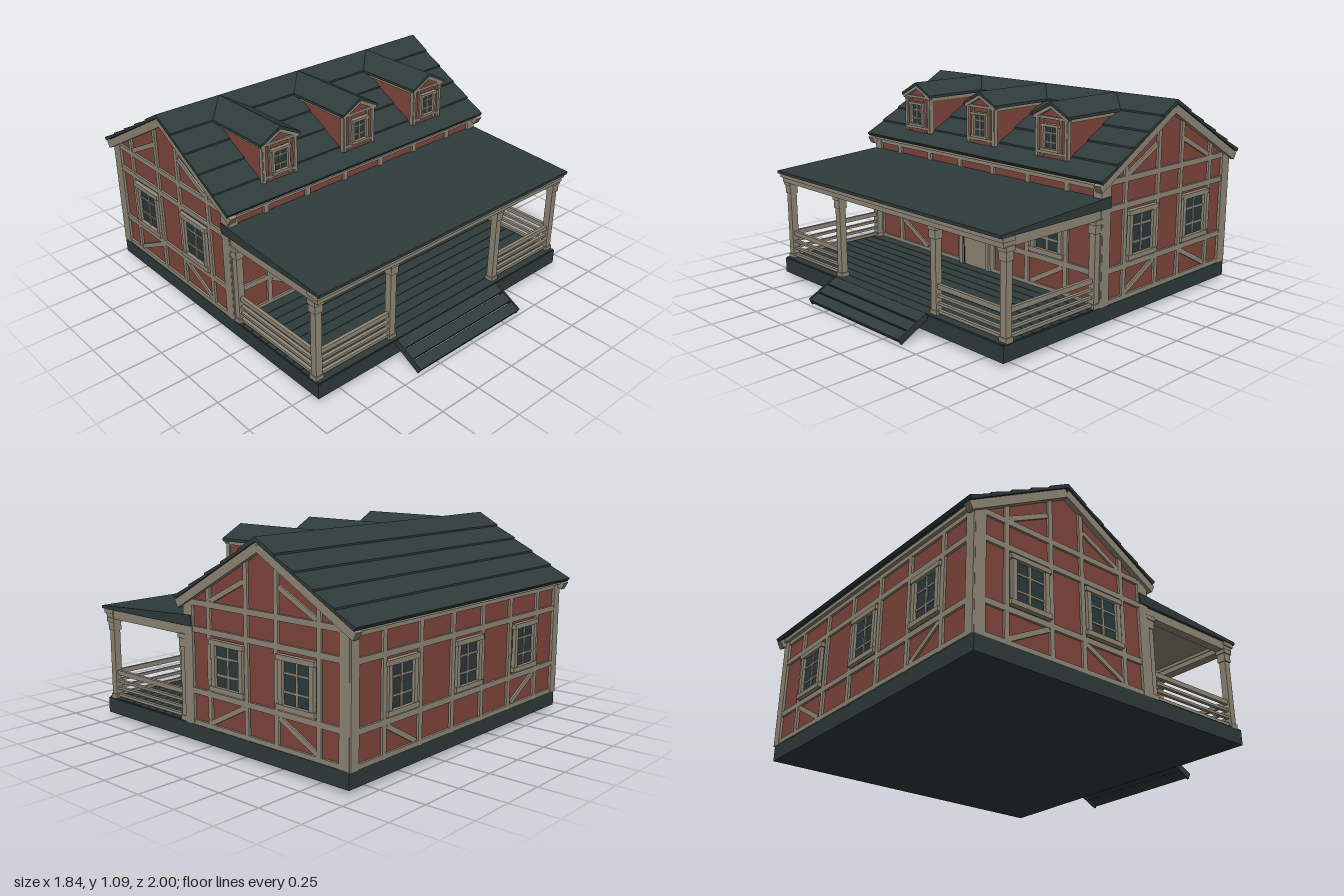
import * as THREE from 'three';

const mat = (name, color) => {
  const m = new THREE.MeshStandardMaterial({ color });
  m.name = name;
  return m;
};

export function createModel() {
  const slate = mat('dark slate', 0x2f3b3b);
  const red = mat('red plaster', 0x81463e);
  const cream = mat('cream timber', 0x918978);
  const glass = mat('window glass', 0x2c3a3e);
  const dark = mat('dark metal', 0x1b1613);

  const model = new THREE.Group();
  model.name = 'house';

  const group = (parent, name, x = 0, y = 0, z = 0, ry = 0) => {
    const g = new THREE.Group();
    g.name = name;
    g.position.set(x, y, z);
    g.rotation.y = ry;
    parent.add(g);
    return g;
  };
  const add = (parent, name, geo, m) => {
    const mesh = new THREE.Mesh(geo, m);
    mesh.name = name;
    parent.add(mesh);
    return mesh;
  };
  // box given by its extents on each axis
  const box = (parent, name, m, x0, x1, y0, y1, z0, z1) => {
    const mesh = add(parent, name, new THREE.BoxGeometry(x1 - x0, y1 - y0, z1 - z0), m);
    mesh.position.set((x0 + x1) / 2, (y0 + y1) / 2, (z0 + z1) / 2);
    return mesh;
  };
  // timber lying on a wall plane between two points
  const beam = (parent, name, u0, y0, u1, y1, width = 0.03, depth = 0.012, m = cream) => {
    const len = Math.hypot(u1 - u0, y1 - y0);
    const mesh = add(parent, name, new THREE.BoxGeometry(len, width, depth + 0.01), m);
    mesh.position.set((u0 + u1) / 2, (y0 + y1) / 2, depth / 2 - 0.005);
    mesh.rotation.z = Math.atan2(y1 - y0, u1 - u0);
    return mesh;
  };
  const outline = (points) => new THREE.Shape(points.map((p) => new THREE.Vector2(...p)));
  // (z, y) profile swept across x from -w to w
  const sweepX = (points, w) => new THREE.ExtrudeGeometry(outline(points), { depth: 2 * w, bevelEnabled: false })
    .rotateY(-Math.PI / 2).translate(w, 0, 0);

  // framed window with glazing bars, lying on a wall plane
  const windowUnit = (parent, u, y, w, h, f, bar) => {
    const g = group(parent, 'window', u, y);
    box(g, 'windowGlass', glass, -w / 2, w / 2, -h / 2, h / 2, 0, 0.006);
    for (const s of [-1, 1]) {
      beam(g, 'windowJamb', s * (w - f) / 2, -h / 2, s * (w - f) / 2, h / 2, f, 0.022);
      beam(g, 'windowRail', -w / 2 - f * 0.4, s * (h - f) / 2, w / 2 + f * 0.4, s * (h - f) / 2, f, 0.026);
    }
    beam(g, 'glazingBar', 0, -h / 2, 0, h / 2, bar, 0.011);
    for (const k of [-0.17, 0.17]) beam(g, 'glazingBar', -w / 2, k * h, w / 2, k * h, bar * 0.8, 0.01);
  };

  // foundation and porch deck
  box(model, 'foundation', slate, -0.895, 0.895, 0.03, 0.113, -0.945, 0.82);
  for (let i = 0; i < 10; i++) {
    const z = 0.15 + i * 0.067;
    box(model, 'deckPlank', slate, -0.89, 0.89, 0.11, 0.119, z, z + 0.063);
  }

  // house body
  add(model, 'walls', sweepX([[-0.94, 0.11], [0.14, 0.11], [0.14, 0.745], [-0.4, 1.06], [-0.94, 0.745]], 0.88), red);

  // main roof with five stepped courses on each slope
  const n = 5, run = 0.6, drop = 0.335, step = 0.009;
  const slope = [];
  for (let i = 0; i < n; i++) {
    const a = i / n, b = (i + 1) / n;
    slope.push([a * run, 1.1 - a * drop - (i ? step : 0)], [b * run, 1.1 - b * drop]);
  }
  const front = slope.map(([d, y]) => [-0.4 + d * 0.985, y]);
  const back = slope.slice(1).reverse().map(([d, y]) => [-0.4 - d, y]);
  add(model, 'mainRoof', sweepX([...front, [0.18, 0.748], [-0.4, 1.078], [-0.988, 0.748], ...back], 0.92), slate);

  // long walls, front and back
  const longWall = (name, z, ry) => {
    const g = group(model, name, 0, 0, z, ry);
    for (const [y, w] of [[0.125, 0.025], [0.285, 0.03], [0.6, 0.03], [0.725, 0.03]])
      beam(g, 'wallRail', -0.89, y, 0.89, y, w);
    beam(g, 'eaveBoard', -0.9, 0.745, 0.9, 0.745, 0.022, 0.03);
    for (const s of [-1, 1]) {
      beam(g, 'cornerPost', s * 0.865, 0.11, s * 0.865, 0.74, 0.055, 0.014);
      for (const u of [0.66, 0.39, 0.13]) beam(g, 'wallStud', s * u, 0.11, s * u, 0.74, 0.028);
      windowUnit(g, s * 0.535, 0.44, 0.215, 0.26, 0.026, 0.014);
      beam(g, 'wallBrace', s * 0.42, 0.14, s * 0.64, 0.265, 0.026, 0.01);
    }
    return g;
  };
  const frontWall = longWall('frontWall', 0.14, 0);
  const backWall = longWall('backWall', -0.94, Math.PI);
  windowUnit(backWall, 0, 0.44, 0.215, 0.26, 0.026, 0.014);

  // front door
  const door = group(frontWall, 'frontDoor');
  box(door, 'doorPanel', cream, -0.09, 0.09, 0.118, 0.57, 0, 0.018);
  const pane = outline([[-0.052, 0.41], [-0.03, 0.38], [0.03, 0.38], [0.052, 0.41], [0.052, 0.555], [-0.052, 0.555]]);
  add(door, 'doorGlass', new THREE.ExtrudeGeometry(pane, { depth: 0.008, bevelEnabled: false }), glass).position.z = 0.013;
  for (const s of [-1, 1]) {
    beam(door, 'doorJamb', s * 0.104, 0.115, s * 0.104, 0.58, 0.024, 0.03);
    beam(door, 'doorGap', s * 0.088, 0.118, s * 0.088, 0.57, 0.006, 0.02, dark);
  }
  beam(door, 'doorHead', -0.12, 0.58, 0.12, 0.58, 0.028, 0.032);
  add(door, 'doorKnob', new THREE.SphereGeometry(0.012, 12, 8), dark).position.set(0.066, 0.31, 0.028);

  // gable walls
  for (const side of [-1, 1]) {
    const g = group(model, 'gableWall', side * 0.88, 0, -0.4, side * Math.PI / 2);
    for (const [y, w] of [[0.125, 0.025], [0.29, 0.03], [0.605, 0.03], [0.74, 0.03]])
      beam(g, 'gableRail', -0.545, y, 0.545, y, w);
    for (const s of [-1, 1]) {
      beam(g, 'cornerPost', s * 0.515, 0.11, s * 0.515, 0.75, 0.06, 0.014);
      beam(g, 'gableStud', s * 0.365, 0.11, s * 0.365, 0.83, 0.026);
      beam(g, 'gableStud', s * 0.1, 0.11, s * 0.1, 0.99, 0.026);
      windowUnit(g, s * 0.23, 0.445, 0.22, 0.26, 0.026, 0.014);
      beam(g, 'lowerBrace', s * 0.355, 0.145, s * 0.115, 0.27, 0.026, 0.01);
      beam(g, 'upperBrace', s * 0.35, 0.76, s * 0.115, 0.88, 0.026, 0.01);
      beam(g, 'bargeBoard', s * 0.585, 0.722, 0, 1.052, 0.044, 0.03);
    }
  }

  // dormers
  for (const x of [-0.535, 0, 0.52]) {
    const d = group(model, 'dormer', x);
    const bodyShape = outline([[-0.105, 0.8], [0.105, 0.8], [0.105, 1.02], [0, 1.075], [-0.105, 1.02]]);
    add(d, 'dormerBody', new THREE.ExtrudeGeometry(bodyShape, { depth: 0.4, bevelEnabled: false }), red).position.z = -0.295;
    const roofShape = outline([[-0.125, 1.018], [0, 1.082], [0.125, 1.018], [0.125, 1.033], [0, 1.1], [-0.125, 1.033]]);
    add(d, 'dormerRoof', new THREE.ExtrudeGeometry(roofShape, { depth: 0.515, bevelEnabled: false }), slate).position.z = -0.39;
    const face = group(d, 'dormerFront', 0, 0, 0.105);
    windowUnit(face, 0, 0.915, 0.112, 0.14, 0.014, 0.008);
    for (const y of [0.835, 1.015]) beam(face, 'dormerRail', -0.105, y, 0.105, y, 0.014, 0.01);
    for (const s of [-1, 1]) {
      beam(face, 'dormerPost', s * 0.099, 0.81, s * 0.099, 1.02, 0.016, 0.011);
      beam(face, 'dormerStud', s * 0.062, 0.81, s * 0.062, 1.02, 0.01, 0.009);
      beam(face, 'dormerBarge', s * 0.118, 1.012, 0, 1.073, 0.018, 0.015);
      box(d, 'dormerSideRail', cream, s * 0.107 - 0.004, s * 0.107 + 0.004, 1.0, 1.018, -0.25, 0.105);
      box(d, 'dormerSidePost', cream, s * 0.107 - 0.004, s * 0.107 + 0.004, 0.81, 1.02, 0.09, 0.113);
    }
  }

  // porch roof, ceiling and beams
  add(model, 'porchRoof', sweepX([[0.09, 0.616], [0.84, 0.616], [0.84, 0.632], [0.09, 0.674]], 0.9), slate);
  box(model, 'porchCeiling', cream, -0.885, 0.885, 0.609, 0.617, 0.14, 0.82);
  box(model, 'porchFrontBeam', cream, -0.89, 0.89, 0.565, 0.612, 0.755, 0.815);
  box(model, 'porchFrontTrim', cream, -0.897, 0.897, 0.592, 0.614, 0.75, 0.825);

  // porch posts with stepped capitals
  const post = (x, z) => {
    const g = group(model, 'porchPost', x, 0, z);
    for (const [r, y0, y1] of [[0.019, 0.115, 0.57], [0.024, 0.115, 0.14], [0.024, 0.5, 0.545], [0.029, 0.545, 0.57]])
      box(g, 'postPart', cream, -r, r, y0, y1, -r, r);
  };
  const rails = [[0.135, 0.016], [0.175, 0.014], [0.215, 0.014], [0.262, 0.026]];
  for (const s of [-1, 1]) {
    for (const [x, z] of [[0.867, 0.775], [0.39, 0.775], [0.867, 0.17]]) post(s * x, z);
    box(model, 'porchSideBeam', cream, s * 0.865 - 0.024, s * 0.865 + 0.024, 0.565, 0.612, 0.14, 0.8);
    // railings along the front and the side
    for (const [y, h] of rails) {
      const xa = s * 0.39, xb = s * 0.867;
      box(model, 'frontRailing', cream, Math.min(xa, xb), Math.max(xa, xb), y - h / 2, y + h / 2, 0.766, 0.784);
      box(model, 'sideRailing', cream, s * 0.867 - 0.009, s * 0.867 + 0.009, y - h / 2, y + h / 2, 0.17, 0.775);
    }
  }

  // entrance steps: treads between two sloping stringers
  const steps = group(model, 'entranceSteps', -0.01, 0.068, 0.905);
  steps.rotation.x = 0.48;
  for (const s of [-1, 1])
    box(steps, 'stringer', slate, s * 0.376 - 0.005, s * 0.376 + 0.005, -0.019, 0.019, -0.095, 0.095);
  for (const z of [-0.066, 0, 0.066])
    box(steps, 'tread', slate, -0.374, 0.374, -0.006, 0.016, z - 0.029, z + 0.029);

  return model;
}
